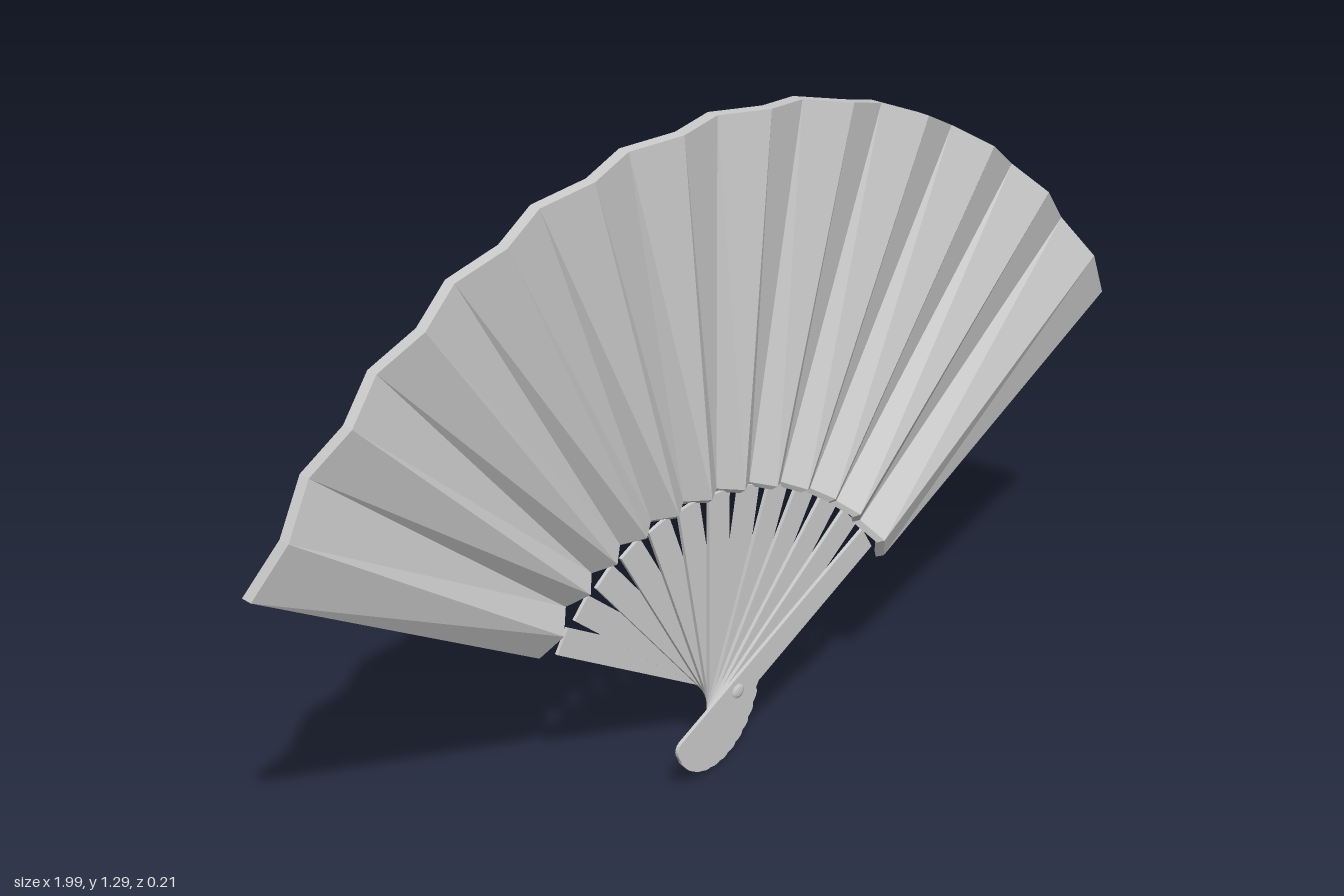
import * as THREE from 'three';

const PIVOT_Y = 0.175;
const PLEATS = 24;                       // folded strips in the leaf
const PLEAT_STEP = THREE.MathUtils.degToRad(5.1);
const STICKS = 13;                       // one under every second fold
const STICK_STEP = THREE.MathUtils.degToRad(10);
const R_IN = 0.39, R_OUT = 1.12;

const material = () => new THREE.MeshStandardMaterial({
  color: 0xcccccc, flatShading: true, side: THREE.DoubleSide,
});

// Zigzag sheet with thickness and a bevelled inner hem. It climbs from the
// back at one end to the front at the other, and widens around the guards.
function leafGeometry() {
  const sections = [];
  for (let i = 0; i <= PLEATS; i++) {
    const t = i / PLEATS * 2 - 1;
    const fold = i % 2 === 0 ? -1 : 1;
    const fromEnd = Math.min(i, PLEATS - i);
    const flare = Math.sign(t) * [1, 0.45, 0.1][Math.min(fromEnd, 2)] * (fromEnd < 3 ? 1 : 0);
    const point = (r, climb, depth, spread, offset) => {
      const a = t * PLEATS / 2 * PLEAT_STEP + flare * spread;
      return new THREE.Vector3(r * Math.sin(a), r * Math.cos(a), climb * t + fold * depth + offset);
    };
    const outer = offset => point(R_OUT, 0.066, 0.014, 0.026, offset);
    const inner = (r, offset) => point(r, 0.078, 0.016, 0.096, offset);
    sections.push([
      outer(0.012),
      inner(R_IN + 0.01, 0.012),
      inner(R_IN, 0),
      inner(R_IN + 0.01, -0.012),
      outer(-0.012),
    ]);
  }
  const pos = [];
  const face = (a, ...rest) => {
    for (let k = 0; k + 1 < rest.length; k++) {
      [a, rest[k], rest[k + 1]].forEach(v => pos.push(v.x, v.y, v.z));
    }
  };
  for (let i = 0; i < PLEATS; i++) {
    const s = sections[i], t = sections[i + 1];
    for (let k = 0; k < s.length; k++) {
      const n = (k + 1) % s.length;
      face(s[k], s[n], t[n], t[k]);
    }
  }
  face(...[...sections[0]].reverse());
  face(...sections[PLEATS]);
  const geo = new THREE.BufferGeometry();
  geo.setAttribute('position', new THREE.Float32BufferAttribute(pos, 3));
  geo.computeVertexNormals();
  return geo;
}

// Flat stick with a rounded tail below the pivot
function stickGeometry(top, thickness) {
  const w = 0.026, tail = -0.173, c = 0.02;
  const shape = new THREE.Shape();
  shape.moveTo(w, top);
  shape.lineTo(-w, top);
  shape.lineTo(-w, tail + c);
  shape.quadraticCurveTo(-w + 0.003, tail, 0, tail);
  shape.quadraticCurveTo(w - 0.003, tail, w, tail + c);
  shape.closePath();
  const geo = new THREE.ExtrudeGeometry(shape, { depth: thickness, bevelEnabled: false, curveSegments: 5 });
  geo.translate(0, 0, -thickness / 2);
  return geo;
}

export function createModel() {
  const model = new THREE.Group();
  model.name = 'foldingFan';
  const fan = new THREE.Group();
  fan.name = 'fanAboutPivot';
  fan.position.y = PIVOT_Y;
  model.add(fan);

  const add = (name, geometry) => {
    const mesh = new THREE.Mesh(geometry, material());
    mesh.name = name;
    fan.add(mesh);
    return mesh;
  };

  // Pleated leaf
  add('pleatedLeaf', leafGeometry());

  // Sticks, stacked front to back, with a guard at each end
  for (let i = 0; i < STICKS; i++) {
    const offset = i - (STICKS - 1) / 2;
    const guard = i === 0 || i === STICKS - 1;
    const stick = add(guard ? 'guardStick' : 'stick', stickGeometry(0.395, 0.0074));
    stick.rotation.z = -offset * STICK_STEP;
    stick.position.z = offset * 0.0083;
  }

  // Rivet through the pivot, with a low domed head on each face
  const rivet = add('rivet', new THREE.LatheGeometry([
    [0, -0.058], [0.009, -0.057], [0.015, -0.054], [0.015, 0.054], [0.009, 0.057], [0, 0.058],
  ].map(p => new THREE.Vector2(...p)), 16));
  rivet.rotation.x = Math.PI / 2;

  return model;
}
